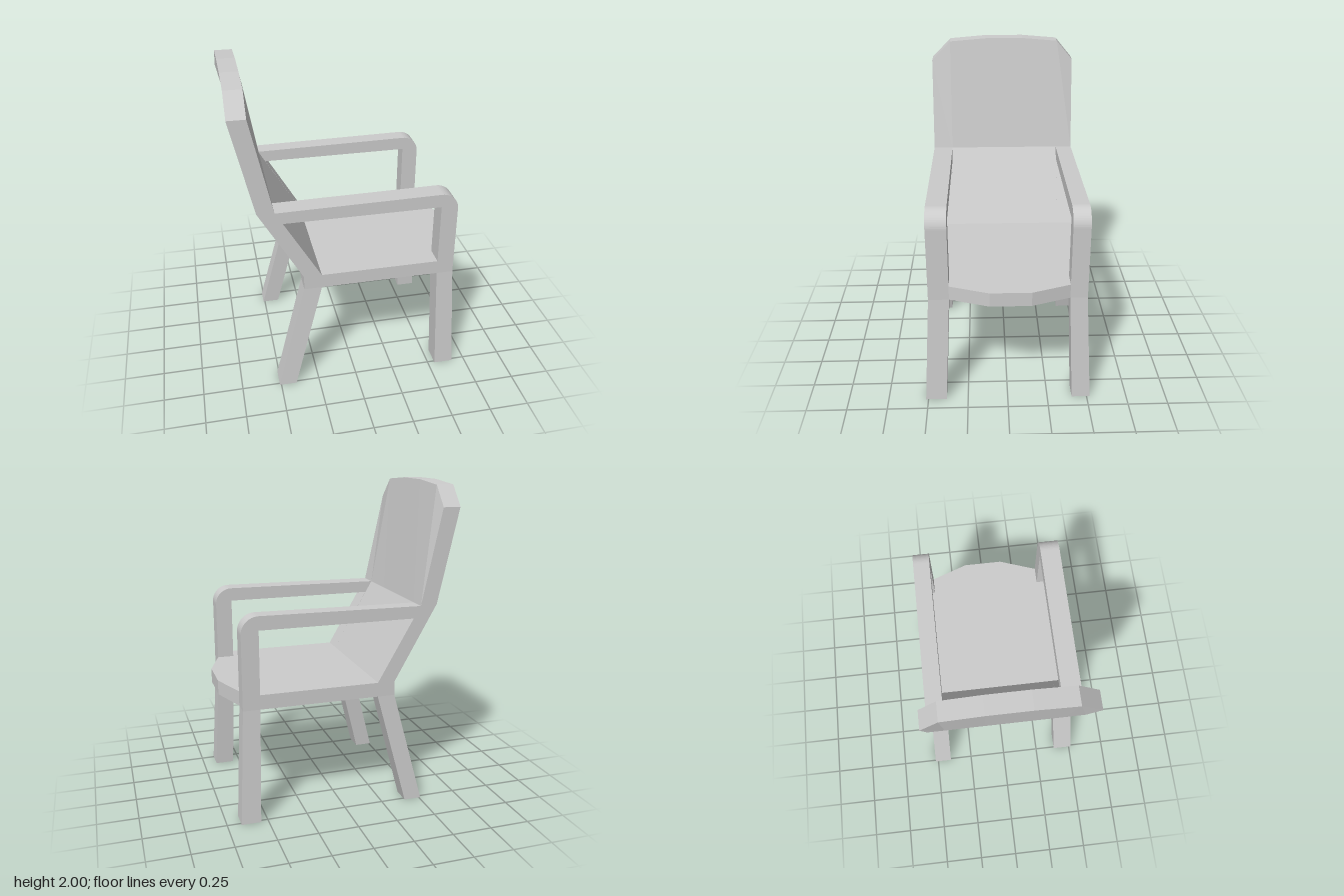
import * as THREE from 'three';

const material = new THREE.MeshStandardMaterial({ color: 0xcccccc, flatShading: true });

// Joins a row of equal-sized loops of [x, y, z] points, optionally closing convex ends
function loft(loops, capped) {
  const pos = [];
  const tri = (a, b, c) => pos.push(...a, ...b, ...c);
  const n = loops[0].length;
  for (let i = 0; i < loops.length - 1; i++) {
    for (let j = 0; j < n; j++) {
      const k = (j + 1) % n;
      const a = loops[i][j], b = loops[i][k], c = loops[i + 1][k], d = loops[i + 1][j];
      tri(a, b, c);
      tri(a, c, d);
    }
  }
  if (capped) {
    const first = loops[0], last = loops[loops.length - 1];
    for (let j = 1; j < n - 1; j++) {
      tri(first[0], first[j + 1], first[j]);
      tri(last[0], last[j], last[j + 1]);
    }
  }
  const geometry = new THREE.BufferGeometry();
  geometry.setAttribute('position', new THREE.Float32BufferAttribute(pos, 3));
  geometry.computeVertexNormals();
  return geometry;
}

function part(name, geometry) {
  const mesh = new THREE.Mesh(geometry, material);
  mesh.name = name;
  return mesh;
}

// Side frame outline: seat rail, front post, armrest with rounded corner, rear post
function frameShape() {
  const s = new THREE.Shape();
  s.moveTo(-0.325, 0.71);
  s.lineTo(0.63, 0.71);
  s.lineTo(0.63, 1.17);
  s.absellipse(0.525, 1.17, 0.105, 0.105, 0, Math.PI / 2, false);
  s.lineTo(-0.485, 1.265);
  s.lineTo(-0.59, 1.27);
  s.lineTo(-0.325, 0.8);
  s.closePath();
  s.holes.push(new THREE.Path([[-0.215, 0.8], [-0.44, 1.19], [0.525, 1.19], [0.525, 0.8]]
    .map(([x, y]) => new THREE.Vector2(x, y))));
  return s;
}

// Rectangular loop at height y
const rect = (x0, x1, y, z0, z1) => [[x0, y, z1], [x1, y, z1], [x1, y, z0], [x0, y, z0]];

export function createModel() {
  const chair = new THREE.Group();
  chair.name = 'armchair';

  // Side frames and splayed legs: z range at the frame, z range at the floor
  const sides = [
    { name: 'right', top: [0.35, 0.475], foot: [0.385, 0.515] },
    { name: 'left', top: [-0.48, -0.375], foot: [-0.52, -0.405] },
  ];
  for (const { name, top, foot } of sides) {
    const geometry = new THREE.ExtrudeGeometry(frameShape(),
      { depth: top[1] - top[0], bevelEnabled: false, curveSegments: 8 });
    geometry.translate(0, 0, top[0]);
    chair.add(part(name + 'SideFrame', geometry));
    chair.add(part(name + 'FrontLeg',
      loft([rect(0.545, 0.665, 0, ...foot), rect(0.525, 0.63, 0.71, ...top)], true)));
    chair.add(part(name + 'RearLeg',
      loft([rect(-0.51, -0.4, 0, ...foot), rect(-0.325, -0.215, 0.71, ...top)], true)));
  }

  // Seat and lower back between the frames: z, front edge, rear lower edge
  const seat = [
    [-0.375, 0.63, -0.325], [-0.14, 0.715, -0.265], [0.11, 0.715, -0.265], [0.35, 0.63, -0.325],
  ].map(([z, front, rear]) => [
    [rear, 0.71, z], [front, 0.71, z], [front, 0.8, z], [-0.215, 0.8, z],
    [-0.485, 1.265, z], [-0.59, 1.27, z], [-0.325, 0.8, z],
  ]);
  chair.add(part('seatAndLowerBack', loft(seat, false)));

  // Full-width upper backrest with clipped, gently arched top: z, top height
  const back = [
    [-0.48, 1.855], [-0.375, 1.98], [-0.14, 2], [0.11, 2], [0.35, 1.98], [0.475, 1.855],
  ].map(([z, y]) => [
    [-0.59, 1.27, z], [-0.485, 1.265, z], [-0.61, y, z], [-0.72, y, z],
  ]);
  chair.add(part('upperBackrest', loft(back, true)));

  return chair;
}
